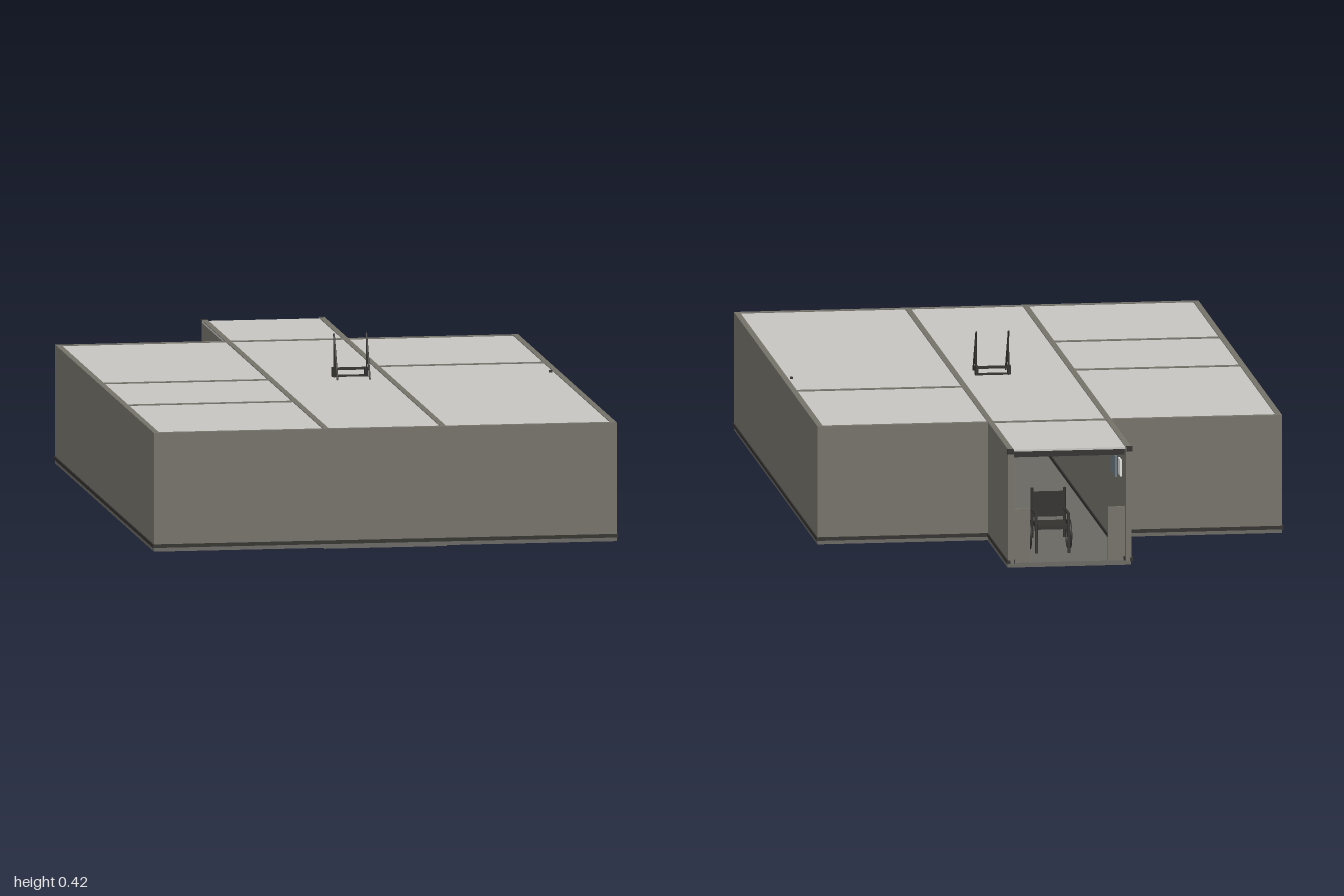
import * as THREE from 'three';

const paint = (name, color, side = THREE.FrontSide) => {
  const m = new THREE.MeshStandardMaterial({ color, side });
  m.name = name;
  return m;
};

export function createModel() {
  const model = new THREE.Group();
  model.name = 'buildingWing';
  const wallMat = paint('wall taupe', 0x75726a);
  const ceilMat = paint('ceiling pale grey', 0xc8c6c2);
  const floorMat = paint('floor grey', 0x6a6863);
  const darkMat = paint('dark trim', 0x33322f);
  const blueMat = paint('board blue grey', 0x6b7880);
  const whiteMat = paint('sign white', 0xe2e2de);

  // Box given by its lower and upper limits on each axis
  const box = (name, mat, x0, x1, y0, y1, z0, z1, parent = model) => {
    const mesh = new THREE.Mesh(new THREE.BoxGeometry(x1 - x0, y1 - y0, z1 - z0), mat);
    mesh.position.set((x0 + x1) / 2, (y0 + y1) / 2, (z0 + z1) / 2);
    mesh.name = name;
    parent.add(mesh);
    return mesh;
  };
  // Thin round bar between two points
  const bar = (name, a, b, r, parent) => {
    const p = new THREE.Vector3(...a), q = new THREE.Vector3(...b);
    const d = q.clone().sub(p);
    const mesh = new THREE.Mesh(new THREE.CylinderGeometry(r, r, d.length(), 8), darkMat);
    mesh.position.copy(p).add(q).multiplyScalar(0.5);
    mesh.quaternion.setFromUnitVectors(new THREE.Vector3(0, 1, 0), d.normalize());
    mesh.name = name;
    parent.add(mesh);
  };

  const W = 0.602, H = 0.31, T = 0.015, C = 0.16, B = 0.012;

  // Floor slabs, the corridor slab a touch lower
  box('corridorFloor', floorMat, -C, C, 0, B, -0.985, 1);
  for (const s of [-1, 1]) {
    const [a, b] = s < 0 ? [-W, -C] : [C, W];
    box('roomFloor', floorMat, a, b, 0.002, B, -0.61, 0.997);
  }

  // Walls: [x0, x1, z0, z1]
  const walls = [
    [-W, W, 0.997 - T, 0.997],
    [-W, -C + T, -0.612, -0.612 + T],
    [C - T, W, -0.612, -0.612 + T],
    [-W + T, -C, 0.0825, 0.0975],
    [-W + T, -C, 0.4775, 0.4925],
    [C, W - T, -0.1125, -0.0975],
  ];
  for (const s of [-1, 1]) {
    walls.push(s < 0 ? [-W, -W + T, -0.612, 0.997] : [W - T, W, -0.612, 0.997]);
    walls.push(s < 0 ? [-C, -C + T, -0.997, 0.99] : [C - T, C, -0.997, 0.99]);
  }
  for (const [x0, x1, z0, z1] of walls) box('wall', wallMat, x0, x1, B, H, z0, z1);
  box('corridorHeader', wallMat, -C + T, C - T, 0.275, H, -0.612, -0.597);

  // Ceilings slightly below the wall tops
  const ceilings = [
    [-C, C, -0.987, 0.985],
    [-W + 0.01, -C, -0.6, 0.985],
    [C, W - 0.01, -0.6, 0.985],
  ];
  for (const [x0, x1, z0, z1] of ceilings) box('ceiling', ceilMat, x0, x1, 0.303, 0.308, z0, z1);

  // Dark skirting around the outside
  const y0 = 0.012, y1 = 0.021, e = 0.003;
  box('frontSkirting', darkMat, -W - e, W + e, y0, y1, 0.99, 1);
  for (const s of [-1, 1]) {
    const strip = (a, b, z0, z1) =>
      box('skirting', darkMat, Math.min(a * s, b * s), Math.max(a * s, b * s), y0, y1, z0, z1);
    strip(W - 0.005, W + e, -0.615, 1);
    strip(C, W + e, -0.615, -0.608);
    strip(C - 0.005, C + e, -1, -0.612);
    strip(C - T - 0.003, C - T + 0.002, -0.99, 0.97);
  }

  // Open corridor end: frame, posts and half-height panels
  for (const s of [-1, 1]) {
    box('endPost', darkMat, s * 0.154 - 0.008, s * 0.154 + 0.008, 0.298, H + 0.001, -1, -0.99);
    box('halfPanel', wallMat, s * 0.123 - 0.022, s * 0.123 + 0.022, B, 0.15, -0.975, -0.967);
  }
  box('endBeam', darkMat, -C + T, C - T, 0.285, 0.303, -0.97, -0.95);

  // Boards on the corridor wall
  box('noticeBoard', blueMat, -0.146, -0.14, 0.2, 0.255, -0.825, -0.735);
  box('sign', whiteMat, -0.146, -0.14, 0.22, 0.262, -0.925, -0.88);
  box('wallCabinet', darkMat, 0.125, 0.146, 0.08, 0.18, -0.8, -0.72);

  // Trolley chair standing in the corridor
  const chair = new THREE.Group();
  chair.name = 'corridorChair';
  chair.position.set(0.03, B, -0.84);
  model.add(chair);
  box('seat', darkMat, -0.04, 0.04, 0.065, 0.075, -0.04, 0.04, chair);
  box('backrest', darkMat, -0.04, 0.04, 0.085, 0.15, 0.035, 0.043, chair);
  for (const s of [-1, 1]) {
    bar('sideFrame', [s * 0.042, 0.03, 0.04], [s * 0.042, 0.16, 0.04], 0.004, chair);
    bar('armrest', [s * 0.042, 0.105, 0.04], [s * 0.042, 0.105, -0.04], 0.004, chair);
    bar('frontLeg', [s * 0.042, 0.105, -0.04], [s * 0.042, 0.005, -0.05], 0.004, chair);
    const wheel = new THREE.Mesh(new THREE.TorusGeometry(0.035, 0.005, 6, 20), darkMat);
    wheel.rotation.y = Math.PI / 2;
    wheel.position.set(s * 0.052, 0.04, 0.03);
    wheel.name = 'wheel';
    chair.add(wheel);
  }

  // Stand passing through the corridor ceiling
  const stand = new THREE.Group();
  stand.name = 'ceilingStand';
  model.add(stand);
  for (const x of [0.016, 0.1]) {
    bar('slopingLeg', [x, 0.305, 0.12], [x, 0.42, 0.06], 0.0025, stand);
    bar('uprightLeg', [x, 0.305, 0.066], [x, 0.4, 0.07], 0.0025, stand);
    box('bracket', darkMat, x - 0.004, x + 0.004, 0.305, 0.332, 0.048, 0.064, stand);
  }
  box('crossbar', darkMat, 0.016, 0.1, 0.325, 0.331, 0.048, 0.058, stand);
  box('lowerCrossbar', darkMat, 0.016, 0.1, 0.306, 0.312, 0.05, 0.062, stand);

  // Small fitting poking out beside the long wall
  box('roofFitting', darkMat, 0.575, 0.582, 0.305, 0.313, 0.062, 0.07);

  return model;
}
